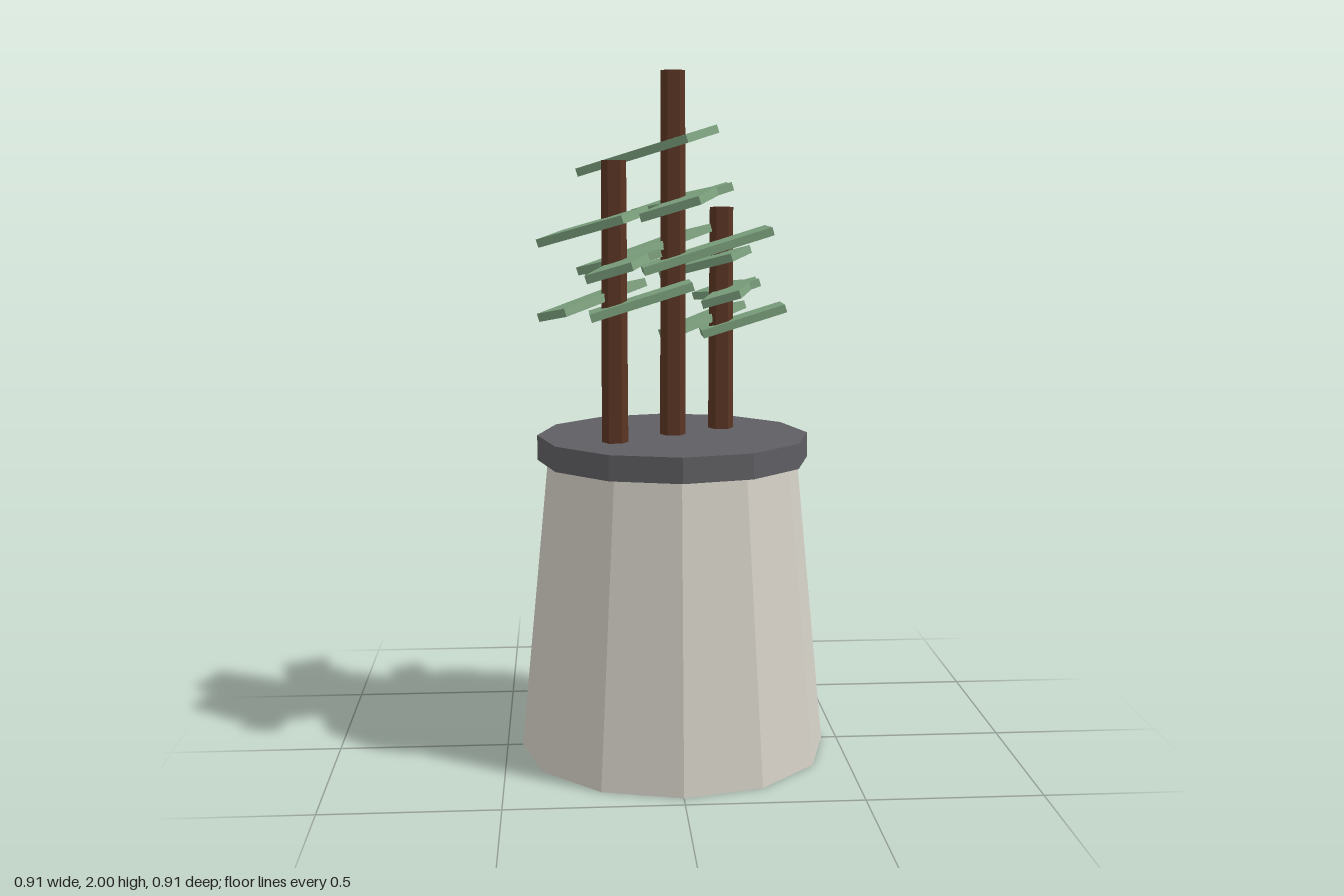
import * as THREE from 'three';

const flat = (name, color) => {
  const m = new THREE.MeshStandardMaterial({ color, flatShading: true });
  m.name = name;
  return m;
};

export function createModel() {
  const stone = flat('paleStone', 0xd4d0c6);
  const slate = flat('darkSlate', 0x5f5e62);
  const bark = flat('brownBark', 0x5a3423);
  const leaf = flat('sageLeaf', 0x7da27e);

  const model = new THREE.Group();
  model.name = 'pottedTrees';
  const add = (parent, name, geometry, material, x, y, z) => {
    const mesh = new THREE.Mesh(geometry, material);
    mesh.name = name;
    mesh.position.set(x, y, z);
    parent.add(mesh);
    return mesh;
  };

  // Tapered twelve-sided pot with a wider dark lid of soil
  add(model, 'pot', new THREE.CylinderGeometry(0.367, 0.455, 0.9, 12), stone, 0, 0.45, 0);
  add(model, 'rim', new THREE.CylinderGeometry(0.4, 0.4, 0.073, 12), slate, 0, 0.911, 0);

  // Each tree: trunk place and top, leaf scale, lowest leaf height and spacing of layers
  const trees = [
    { name: 'middleTree', x: 0, z: 0, top: 2, size: 1, low: 1.488, step: 0.142 },
    { name: 'rightTree', x: -0.175, z: 0.13, top: 1.745, size: 0.777, low: 1.352, step: 0.105 },
    { name: 'leftTree', x: 0.152, z: -0.11, top: 1.61, size: 0.666, low: 1.274, step: 0.087 },
  ];
  const base = 0.93;

  for (const t of trees) {
    const tree = new THREE.Group();
    tree.name = t.name;
    tree.position.set(t.x, 0, t.z);
    model.add(tree);

    // Six-sided trunk
    const height = t.top - base;
    const trunk = add(tree, 'trunk', new THREE.CylinderGeometry(0.035, 0.038, height, 6),
      bark, 0, base + height / 2, 0);
    trunk.rotation.y = Math.PI / 6;

    // Five leaf slabs spiral round the trunk in three layers, all leaning the same way
    const slab = new THREE.BoxGeometry(0.388 * t.size, 0.024, 0.176 * t.size);
    for (let i = 0; i < 5; i++) {
      const a = (i * Math.PI * 2) / 5;
      const r = 0.097 * t.size;
      const pad = add(tree, 'foliageSlab', slab, leaf,
        Math.cos(a) * r, t.low + (i % 3) * t.step, Math.sin(a) * r);
      pad.rotation.set(0, a, 0.3, 'ZYX');
    }
  }
  return model;
}
